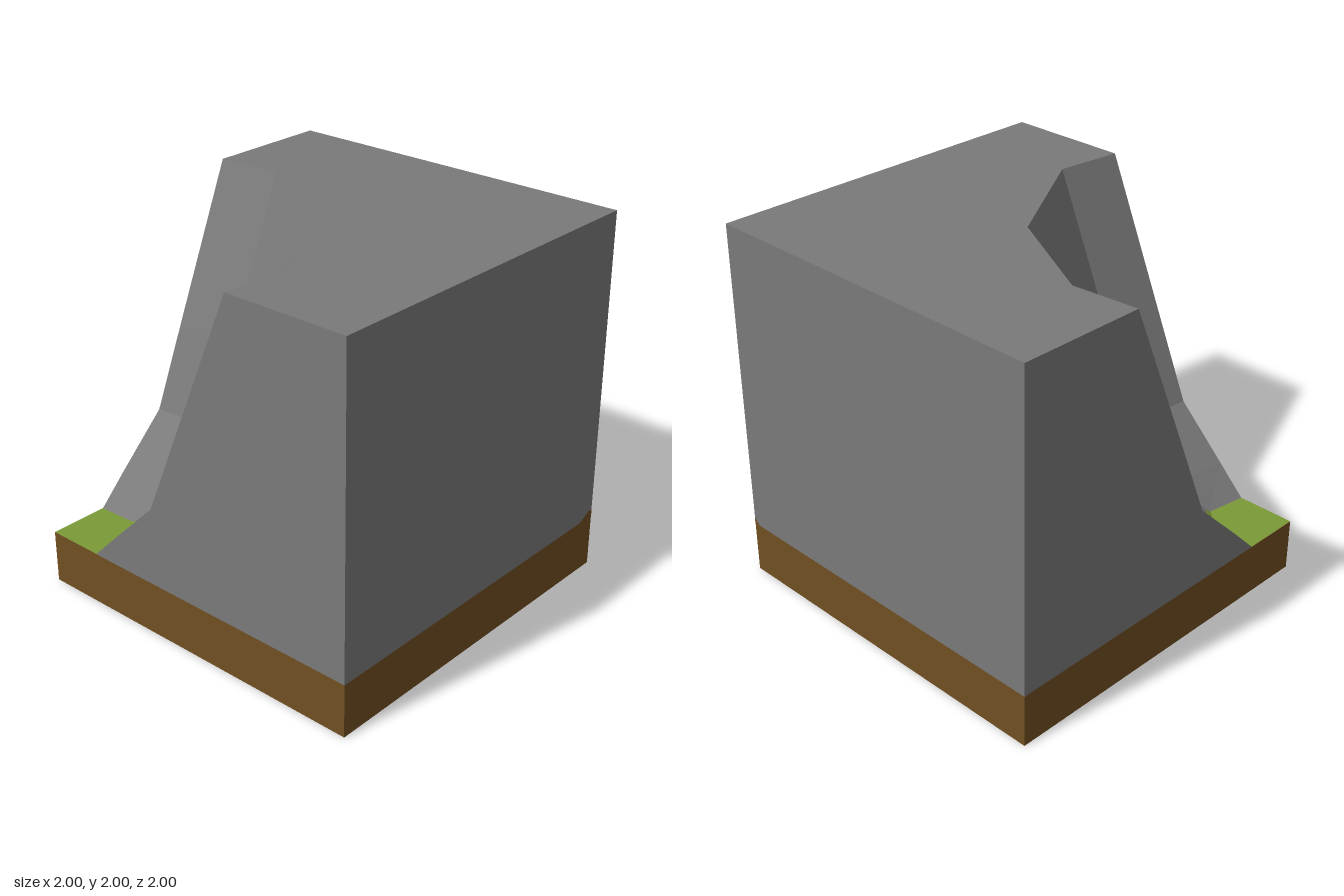
import * as THREE from 'three';

const SOIL = 0.29, TOP = 2;

// Contours of the hollow [x, z], each running from the left cut face to the front cut face
const rings = [
  { y: SOIL, p: [[-1, 0.67], [-0.77, 0.66], [-0.705, 0.715], [-0.64, 0.77], [-0.675, 1]] },
  { y: 0.45, p: [[-1, 0.51], [-0.64, 0.48], [-0.555, 0.565], [-0.48, 0.64], [-0.515, 1]] },
  { y: 0.72, p: [[-1, 0.23], [-0.64, 0.2], [-0.29, 0.28], [-0.2, 0.64], [-0.24, 1]] },
  { y: 1.15, p: [[-1, 0.05], [-0.64, 0.02], [-0.21, 0.18], [-0.015, 0.64], [-0.055, 1]] },
  { y: TOP, p: [[-1, -0.31], [-0.64, -0.34], [-0.05, -0.02], [0.35, 0.64], [0.31, 1]] },
];

// Flat-shaded strip between two rows of 3D points
function strip(lower, upper) {
  const v = [];
  for (let i = 0; i < lower.length - 1; i++) {
    const a = lower[i], b = lower[i + 1], c = upper[i + 1], d = upper[i];
    v.push(...a, ...b, ...c, ...a, ...c, ...d);
  }
  const g = new THREE.BufferGeometry();
  g.setAttribute('position', new THREE.Float32BufferAttribute(v, 3));
  g.computeVertexNormals();
  return g;
}

function face(points) {
  return new THREE.ShapeGeometry(new THREE.Shape(points.map(([x, y]) => new THREE.Vector2(x, y))));
}

export function createModel() {
  const model = new THREE.Group();
  const material = (name, color, side = THREE.FrontSide) =>
    Object.assign(new THREE.MeshStandardMaterial({ color, side }), { name });
  const rock = material('rock grey', 0x7a7a7a);
  const soil = material('soil brown', 0x704f22);
  const grass = material('grass green', 0x7c9a38, THREE.DoubleSide);
  const add = (name, geometry, mat) => {
    const mesh = new THREE.Mesh(geometry, mat);
    mesh.name = name;
    model.add(mesh);
    return mesh;
  };

  // Soil slab
  add('soilBase', new THREE.BoxGeometry(2, SOIL, 2).translate(0, SOIL / 2, 0), soil);

  // Grass floor in the hollow
  const floor = [...rings[0].p, [-1, 1]].map(([x, z]) => [x, -z]);
  add('grassFloor', face(floor).rotateX(-Math.PI / 2).translate(0, SOIL + 0.002, 0), grass);

  // Grass creeping up the foot of the cliff corner
  const lift = ([x, y, z]) => [x - 0.003, y + 0.004, z + 0.003];
  add('grassBank', strip(
    [[-0.77, SOIL, 0.66], [-0.705, SOIL, 0.715], [-0.64, SOIL, 0.77]].map(lift),
    [[-0.715, 0.315, 0.65], [-0.676, 0.32, 0.688], [-0.635, 0.315, 0.735]].map(lift)), grass);

  // Sloping cliff walls
  const row = ({ y, p }) => p.map(([x, z]) => [x, y, z]);
  for (let i = 0; i < rings.length - 1; i++) {
    add('cliffWall' + (i + 1), strip(row(rings[i]), row(rings[i + 1])), rock);
  }

  // Plateau on top
  const plateau = [...rings.at(-1).p, [1, 1], [1, -1], [-1, -1]].map(([x, z]) => [x, -z]);
  add('plateau', face(plateau).rotateX(-Math.PI / 2).translate(0, TOP, 0), rock);

  // Cut sides showing the cliff profile
  const frontProfile = rings.map(({ y, p }) => [p.at(-1)[0], y]);
  add('frontSide', face([...frontProfile, [1, TOP], [1, SOIL]]).translate(0, 0, 1), rock);
  const sideProfile = rings.map(({ y, p }) => [p[0][1], y]);
  add('leftCutSide', face([...sideProfile, [-1, TOP], [-1, SOIL]])
    .rotateY(-Math.PI / 2).translate(-1, 0, 0), rock);

  // Plain sides
  const plain = () => face([[-1, SOIL], [1, SOIL], [1, TOP], [-1, TOP]]);
  add('backSide', plain().rotateY(Math.PI).translate(0, 0, -1), rock);
  add('plainSide', plain().rotateY(Math.PI / 2).translate(1, 0, 0), rock);

  // Small rise of soil at the back corner
  add('soilRise', face([[0.88, SOIL], [1, SOIL], [1, 0.325], [0.97, 0.332], [0.93, 0.31]])
    .rotateY(Math.PI / 2).translate(1.001, 0, 0), soil);
  add('soilRiseBack', face([[-1, SOIL], [-0.96, SOIL], [-1, 0.325]])
    .rotateY(Math.PI).translate(0, 0, -1.001), soil);

  return model;
}
